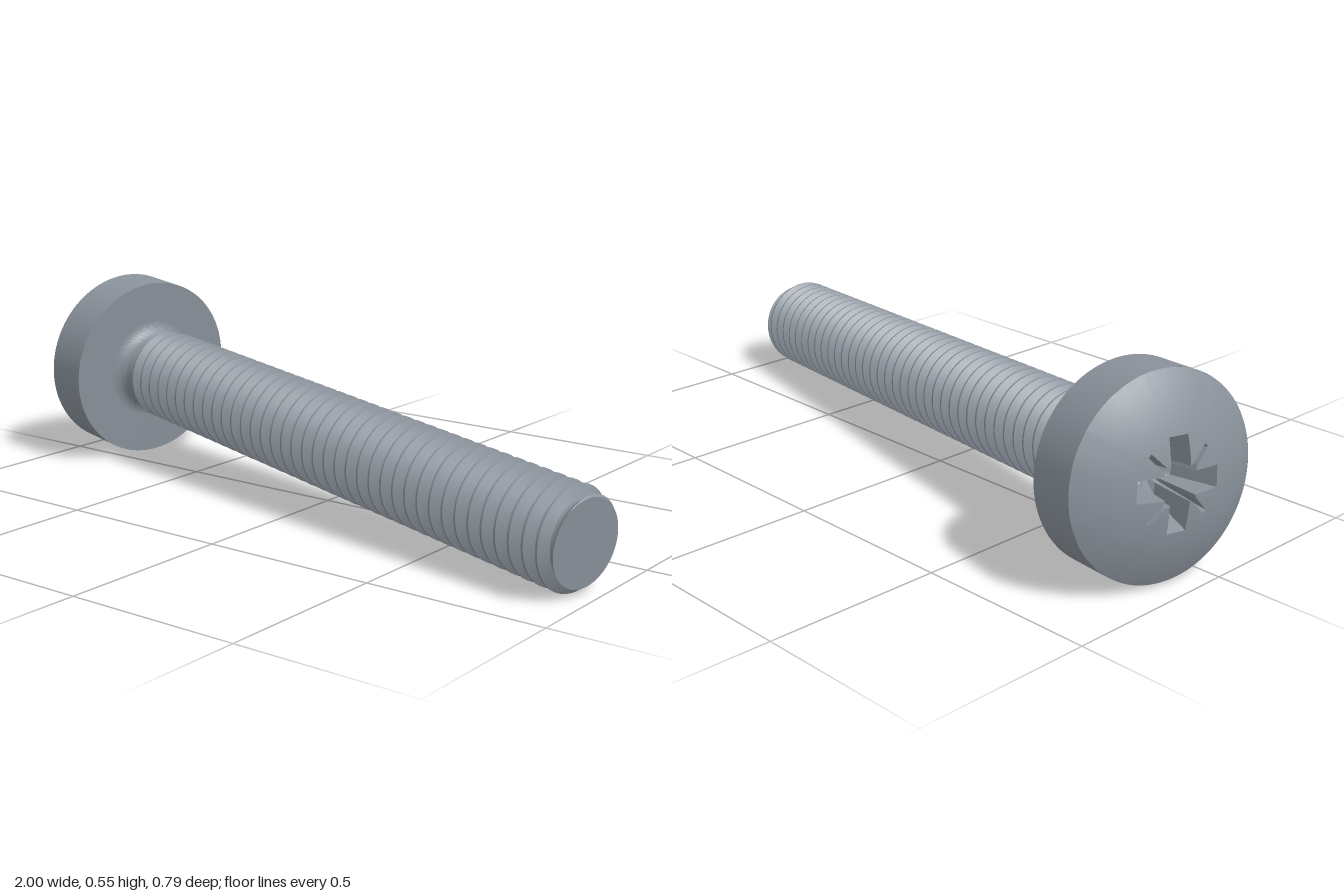
import * as THREE from 'three';
import { toCreasedNormals } from 'three/addons/utils/BufferGeometryUtils.js';

// Local frame: y = 0 is the underside of the head, +y points out of the head.
const HEAD_R = 0.27, SIDE_H = 0.143, DOME_R = 0.523;
const LENGTH = 1.79, CREST_R = 0.135, ROOT_R = 0.107, PITCH = 0.045, END_R = 0.115;

const domeY = (r) => SIDE_H + Math.sqrt(DOME_R ** 2 - r * r) - Math.sqrt(DOME_R ** 2 - HEAD_R ** 2);

// Grid surface from point(i, j); i runs around the axis, j across
function grid(nu, nv, point) {
  const pos = [], index = [];
  for (let i = 0; i <= nu; i++) for (let j = 0; j <= nv; j++) pos.push(...point(i, j));
  for (let i = 0; i < nu; i++) for (let j = 0; j < nv; j++) {
    const a = i * (nv + 1) + j, b = a + nv + 1;
    index.push(a, b, a + 1, b, b + 1, a + 1);
  }
  const g = new THREE.BufferGeometry();
  g.setAttribute('position', new THREE.Float32BufferAttribute(pos, 3));
  g.setIndex(index);
  g.computeVertexNormals();
  return g;
}

// Closed outline made of one quarter repeated four times, each edge split in four
function outline(quarter, roll) {
  const corners = [];
  for (let q = 0; q < 4; q++) {
    const c = Math.cos(roll + q * Math.PI / 2), s = Math.sin(roll + q * Math.PI / 2);
    for (const [x, z] of quarter) corners.push([x * c - z * s, x * s + z * c]);
  }
  const pts = [];
  corners.forEach((p, k) => {
    const n = corners[(k + 1) % corners.length];
    for (let t = 0; t < 1; t += 0.25) pts.push([p[0] + (n[0] - p[0]) * t, p[1] + (n[1] - p[1]) * t]);
  });
  return pts;
}

export function createModel() {
  const steel = new THREE.MeshStandardMaterial({ color: 0x8a929b, side: THREE.DoubleSide });
  steel.name = 'steel';
  const screw = new THREE.Group();
  screw.name = 'screw';
  const add = (name, geometry) => {
    const m = new THREE.Mesh(geometry, steel);
    m.name = name;
    screw.add(m);
  };
  const lathe = (pts) => toCreasedNormals(
    new THREE.LatheGeometry(pts.map(([r, y]) => new THREE.Vector2(r, y)), 128), 0.4);

  // Cross recess: four arms with a thin diagonal tick between them
  const roll = 0.25;
  const top = outline([[0.12, -0.028], [0.12, 0.028], [0.045, 0.03], [0.05, 0.041],
    [0.088, 0.08], [0.08, 0.088], [0.041, 0.05], [0.03, 0.045]], roll);
  const floor = outline([[0.07, -0.021], [0.07, 0.021], [0.033, 0.023], [0.034, 0.028],
    [0.038, 0.034], [0.034, 0.038], [0.028, 0.034], [0.023, 0.033]], roll);
  const n = top.length;

  // Domed top of the head, running from the recess edge to the rim
  add('headDome', grid(n, 10, (i, j) => {
    const [x, z] = top[i % n], r = Math.hypot(x, z), s = j / 10;
    const k = (r + (HEAD_R - r) * s) / r;
    return [x * k, domeY(r * k), z * k];
  }));
  const floorY = 0.09;
  add('recessWall', toCreasedNormals(grid(n, 1, (i, j) => {
    const [x, z] = (j ? top : floor)[i % n];
    return [x, j ? domeY(Math.hypot(x, z)) : floorY, z];
  }), 0.4));
  add('recessFloor', grid(n, 1, (i, j) => {
    const [x, z] = floor[i % n];
    return j ? [x, floorY, z] : [0, floorY - 0.02, 0];
  }));

  // Head side, underside and the fillet into the neck
  add('headSide', lathe([[HEAD_R, 0], [HEAD_R, SIDE_H]]));
  add('headUnderside', lathe([[0.148, 0], [HEAD_R, 0]]));
  const fillet = [[ROOT_R, -0.075]];
  for (let k = 0; k <= 8; k++) {
    const a = k / 8 * Math.PI / 2;
    fillet.push([0.148 - 0.04 * Math.cos(a), -0.04 + 0.04 * Math.sin(a)]);
  }
  add('neckFillet', lathe(fillet));

  // Helical thread: root, rising flank, crest and falling flank as separate strips
  const steps = 48, start = 0.05;
  const turns = Math.ceil((LENGTH - start) / PITCH) + 1;
  const profile = [[0, ROOT_R], [0.2, ROOT_R], [0.53, CREST_R], [0.67, CREST_R], [1, ROOT_R]];
  const names = ['threadRoot', 'threadUpperFlank', 'threadCrest', 'threadLowerFlank'];
  names.forEach((name, k) => add(name, grid(turns * steps, 1, (i, j) => {
    const a = i / steps * Math.PI * 2;
    const [f, pr] = profile[k + j];
    const t = THREE.MathUtils.clamp(start + PITCH * (i / steps - 1 + f), start, LENGTH);
    // fade in at the neck, chamfer at the tip
    const r = Math.min(pr, ROOT_R + (t - start) * 0.8, END_R + (LENGTH - t) * 0.8);
    return [r * Math.cos(a), -t, r * Math.sin(a)];
  })));

  // Flat end of the shank
  add('tipFace', lathe([[0, -LENGTH - 0.001], [END_R, -LENGTH - 0.001]]));

  // Lay the screw down so that head and tip both touch the ground
  const out = new THREE.Vector3(-0.975, 0.0757, -0.21).normalize();
  screw.quaternion.setFromUnitVectors(new THREE.Vector3(0, 1, 0), out);
  screw.position.set(-0.775, 0.27, -0.107);

  const model = new THREE.Group();
  model.name = 'machineScrew';
  model.add(screw);
  return model;
}
